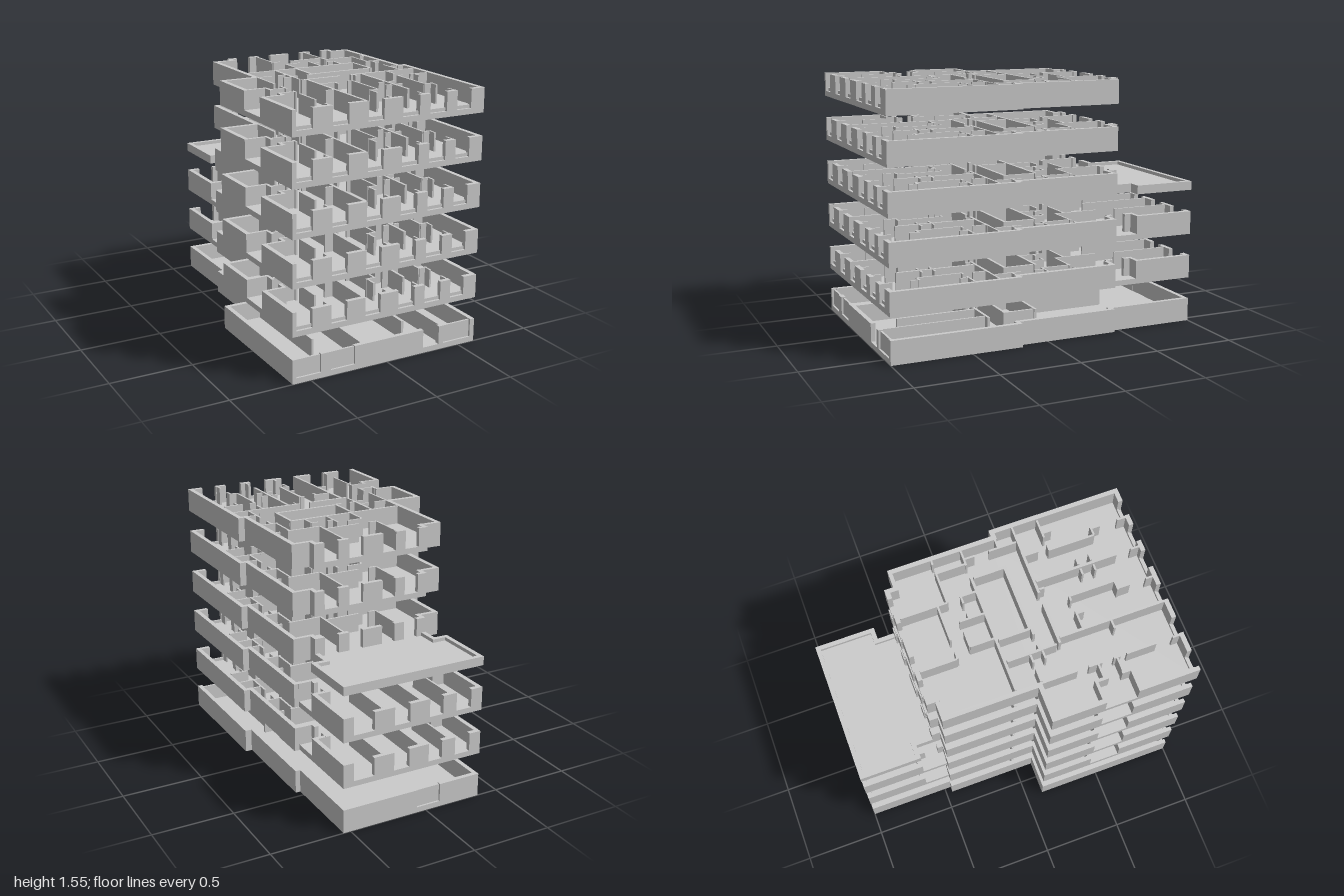
import * as THREE from 'three';
import { mergeGeometries } from 'three/addons/utils/BufferGeometryUtils.js';

const material = new THREE.MeshStandardMaterial({ color: 0xcccccc, flatShading: true });
const STEP = 0.281, H = 0.145, SLAB = 0.033, T = 0.028, THIN = 0.012;

const box = (x0, x1, y0, y1, z0, z1) =>
  new THREE.BoxGeometry(x1 - x0, y1 - y0, z1 - z0)
    .translate((x0 + x1) / 2, (y0 + y1) / 2, (z0 + z1) / 2);

// Horizontal plate from an [x, z] outline
function plate(outline, thickness) {
  const shape = new THREE.Shape(outline.map(([x, z]) => new THREE.Vector2(x, -z)));
  return new THREE.ExtrudeGeometry(shape, { depth: thickness, bevelEnabled: false }).rotateX(-Math.PI / 2);
}

// Solid stretches left between openings
function solids(a, b, openings) {
  const out = [];
  let s = a;
  for (const [o, e] of [...openings].sort((p, q) => p[0] - q[0])) {
    if (o > s) out.push([s, o]);
    s = e;
  }
  if (b > s) out.push([s, b]);
  return out;
}
const wallX = (x0, x1, z0, z1, openings = [], h = H) =>
  solids(x0, x1, openings).map(([a, b]) => box(a, b, SLAB, h, z0, z1));
const wallZ = (z0, z1, x0, x1, openings = [], h = H) =>
  solids(z0, z1, openings).map(([a, b]) => box(x0, x1, SLAB, h, a, b));

// Partition on a centre line, along x or z
const partition = ([x0, z0, x1, z1], t = THIN) => box(
  x0 - (x0 === x1 ? t / 2 : 0), x1 + (x0 === x1 ? t / 2 : 0), SLAB, H,
  z0 - (z0 === z1 ? t / 2 : 0), z1 + (z0 === z1 ? t / 2 : 0));

function add(group, name, geometries) {
  if (!geometries.length) return;
  const mesh = new THREE.Mesh(mergeGeometries(geometries.map(g => g.index ? g.toNonIndexed() : g)), material);
  mesh.name = name;
  group.add(mesh);
}

// Outlines: shared front part, then the rear of each kind of storey
const frontOutline = [[-0.4, -0.46], [-0.4, 0.11], [-0.615, 0.11], [-0.615, 1], [0.615, 1], [0.615, 0.185], [0.575, 0.185], [0.575, -0.455]];
const longRear = [[0.545, -0.455], [0.545, -1], [-0.365, -1], [-0.365, -0.46]];
const shortRear = [[0.465, -0.455], [0.465, -0.51], [-0.28, -0.51], [-0.28, -0.46]];
const terraceRear = [[0.465, -0.455], [0.465, -0.615], [0.545, -0.615], [0.545, -1], [-0.365, -1], [-0.365, -0.615], [-0.28, -0.615], [-0.28, -0.46]];

const frontWindows = [[-0.59, -0.49], [-0.37, -0.27], [-0.15, -0.05], [0.07, 0.18], [0.25, 0.36], [0.43, 0.525]];
const groundDoors = [[-0.59, -0.435], [-0.37, -0.215], [0.395, 0.585]];
const backWindows = [[-0.29, -0.19], [-0.1, -0.01], [0.12, 0.22], [0.35, 0.48]];
const shortBackWindows = [[-0.22, -0.13], [-0.065, 0.02], [0.15, 0.24], [0.31, 0.4]];

// Core walls repeat on all storeys: [x0, z0, x1, z1]
const core = [
  [-0.37, -0.013, 0.37, -0.013], [-0.05, 0, -0.05, 0.19], [-0.05, 0.19, 0.36, 0.19], [0.36, 0, 0.36, 0.2],
  [-0.19, 0, -0.19, 0.21], [-0.19, 0.2, -0.15, 0.2], [-0.09, 0.2, -0.05, 0.2],
  [-0.19, 0.32, 0.07, 0.32], [0.14, 0.32, 0.42, 0.32], [-0.155, 0.33, -0.155, 0.972], [0.215, 0.33, 0.215, 0.83],
];
const rearRooms = [
  [-0.08, -0.48, -0.08, -0.26], [-0.08, -0.255, -0.03, -0.255], [0.04, -0.255, 0.265, -0.255],
  [0.265, -0.48, 0.265, -0.195], [0.265, -0.195, 0.475, -0.195], [0.52, -0.195, 0.55, -0.195],
  [0.46, -0.195, 0.46, -0.013], [-0.035, -0.165, -0.035, -0.013], [-0.035, -0.165, 0.065, -0.165],
  [0.13, -0.17, 0.13, -0.02], [0.13, -0.11, 0.17, -0.11], [0.23, -0.11, 0.275, -0.11], [0.275, -0.11, 0.275, -0.02],
  [0.45, -0.013, 0.55, -0.013],
];
const frontRooms = [
  [0.49, -0.01, 0.49, 0.05], [0.49, 0.14, 0.49, 0.31], [0.49, 0.2, 0.55, 0.2], [0.42, 0.32, 0.59, 0.32],
  [0.39, 0.32, 0.39, 0.41], [-0.37, 0.137, -0.29, 0.137], [-0.25, 0.137, -0.2, 0.137], [-0.25, 0.21, -0.2, 0.21],
  [-0.19, 0.21, -0.19, 0.3], [-0.215, 0.645, -0.16, 0.645],
  [-0.38, 0.13, -0.38, 0.35], [-0.38, 0.42, -0.38, 0.5], [-0.38, 0.57, -0.38, 0.61], [-0.38, 0.65, -0.38, 0.83],
  [-0.38, 0.93, -0.38, 0.975], [-0.47, 0.475, -0.38, 0.475], [-0.47, 0.59, -0.38, 0.59],
  [0.06, 0.475, 0.06, 0.76], [-0.15, 0.475, -0.04, 0.475], [-0.055, 0.475, -0.055, 0.52], [0.03, 0.475, 0.06, 0.475],
  [0, 0.755, 0.06, 0.755], [0.01, 0.76, 0.01, 0.83], [0.01, 0.93, 0.01, 0.975], [0.215, 0.92, 0.215, 0.975],
  [0.16, 0.6, 0.2, 0.6], [0.23, 0.6, 0.27, 0.6], [0.16, 0.68, 0.2, 0.68], [0.23, 0.68, 0.27, 0.68],
  [0.375, 0.47, 0.375, 0.755], [0.375, 0.755, 0.43, 0.755], [0.42, 0.76, 0.42, 0.81], [0.42, 0.92, 0.42, 0.975],
  [0.375, 0.475, 0.41, 0.475], [0.46, 0.475, 0.58, 0.475], [0.49, 0.475, 0.49, 0.53], [0.16, 0.33, 0.16, 0.36],
];

// Recessed balcony in the side wall of the long rear wing
const rearBalcony = (x0, x1, inner) => [
  ...wallX(x0, x1, -0.64, -0.615),
  ...wallZ(-0.64, -0.455, inner - T / 2, inner + T / 2, [[-0.575, -0.49]]),
  ...wallX(x0, x1, -0.457, -0.432),
];

function storey(level) {
  const g = new THREE.Group();
  g.name = 'storey' + level;
  g.position.y = level * STEP;
  const ground = level === 0, long = level < 3, terrace = level === 3;
  const rear = long ? longRear : terrace ? terraceRear : shortRear;
  add(g, 'floorSlab', [plate([...frontOutline, ...rear], SLAB)]);

  // Outer walls shared by every storey
  const openings = ground ? [...groundDoors, [0.25, 0.36]] : frontWindows;
  const balcony = ground ? [] : [[0.435, 0.63]];
  add(g, 'frontWall', wallX(-0.615, 0.615, 1 - T, 1, openings));
  add(g, 'sideWalls', [
    ...wallZ(0.185, 1 - T, 0.615 - T, 0.615), ...wallX(0.547, 0.615 - T, 0.185, 0.185 + T),
    ...wallZ(-0.455, 0.185, 0.575 - T, 0.575),
    ...wallZ(0.11, 1 - T, -0.615, -0.615 + T, balcony), ...wallX(-0.615 + T, -0.4 + T, 0.11, 0.11 + T),
    ...wallZ(-0.46, 0.11, -0.4, -0.4 + T),
  ]);

  if (ground) {
    // Closed panels set back in the door openings
    add(g, 'doorPanels', [
      ...groundDoors.map(([a, b]) => box(a, b, SLAB, H - 0.006, 0.975, 0.988)),
      box(-0.095, 0.06, SLAB, H - 0.006, -0.988, -0.975),
    ]);
  } else {
    add(g, 'windowSills', frontWindows.map(([a, b]) => box(a, b, SLAB, 0.052, 1 - T, 1 - T + 0.012)));
    add(g, 'sideBalcony', [
      ...wallX(-0.615 + T, -0.47, 0.417, 0.435), ...wallX(-0.615 + T, -0.485, 0.63, 0.648),
      ...wallZ(0.435, 0.5, -0.485, -0.467), ...wallZ(0.58, 0.648, -0.485, -0.467),
    ]);
  }

  if (long) {
    const gap = ground ? [] : [[-0.615, -0.455]];
    add(g, 'rearWingWalls', [
      ...wallX(-0.365, 0.545, -1, -1 + T, ground ? [[-0.095, 0.06]] : backWindows),
      ...wallZ(-1 + T, -0.455, 0.545 - T, 0.545, gap),
      ...wallZ(-1 + T, -0.46, -0.365, -0.365 + T, gap),
      ...wallX(0.517, 0.575 - T, -0.455, -0.455 + T), ...wallX(-0.4 + T, -0.337, -0.46, -0.46 + T),
    ]);
    if (!ground) add(g, 'rearBalconies', [...rearBalcony(0.465, 0.545, 0.45), ...rearBalcony(-0.365, -0.28, -0.27)]);
  } else {
    add(g, 'rearWall', [
      ...wallX(-0.28, 0.465, -0.51, -0.51 + T, shortBackWindows),
      ...wallZ(-0.51 + T, -0.432, 0.465 - T, 0.465), ...wallZ(-0.51 + T, -0.432, -0.28, -0.28 + T),
      ...wallX(0.465, 0.575 - T, -0.455, -0.432), ...wallX(-0.4 + T, -0.28, -0.46, -0.435),
    ]);
  }

  // Roof terrace with a low parapet stepping round the balconies below
  if (terrace) {
    const p = 0.054;
    add(g, 'terraceParapet', [
      ...wallX(-0.365, 0.545, -1, -1 + T, [], p),
      ...wallZ(-1 + T, -0.615, 0.545 - T, 0.545, [], p), ...wallZ(-1 + T, -0.615, -0.365, -0.365 + T, [], p),
      ...wallX(0.437, 0.517, -0.643, -0.615, [], p), ...wallX(-0.337, -0.252, -0.643, -0.615, [], p),
      ...wallZ(-0.615, -0.51, 0.437, 0.465, [], p), ...wallZ(-0.615, -0.51, -0.28, -0.252, [], p),
    ]);
  }

  add(g, 'coreWalls', core.map(w => partition(w, 0.016)));
  if (!ground) add(g, 'partitions', [...rearRooms, ...frontRooms].map(w => partition(w)));
  else add(g, 'partitions', [[-0.38, 0.13, -0.38, 0.8], [0.38, 0.33, 0.38, 0.97], [0.1, -0.6, 0.1, -0.013], [-0.2, -0.6, 0.1, -0.6]].map(w => partition(w)));
  if (level === 1 || level === 2)
    add(g, 'rearWingPartitions', [[0.04, -0.97, 0.04, -0.5], [0.285, -0.97, 0.285, -0.6], [-0.15, -0.97, -0.15, -0.6]].map(w => partition(w)));
  return g;
}

export function createModel() {
  const building = new THREE.Group();
  building.name = 'apartmentBuilding';
  for (let level = 0; level < 6; level++) building.add(storey(level));
  return building;
}
